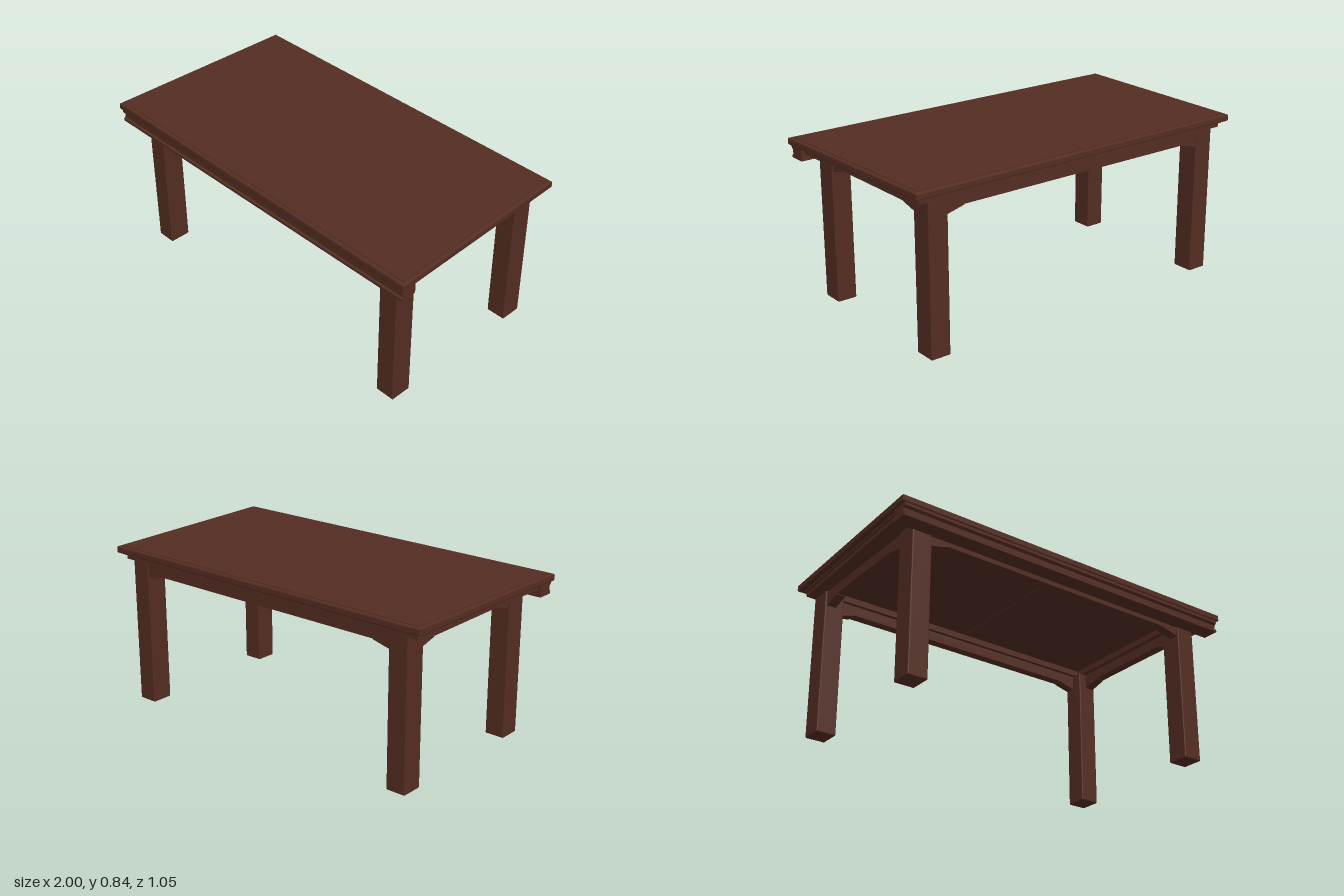
import * as THREE from 'three';
import { RoundedBoxGeometry } from 'three/addons/geometries/RoundedBoxGeometry.js';

export function createModel() {
  const wood = new THREE.MeshStandardMaterial({ color: 0x542d22 });
  wood.name = 'dark brown wood';
  const table = new THREE.Group();
  table.name = 'diningTable';

  const add = (name, geometry, x = 0, y = 0, z = 0) => {
    const mesh = new THREE.Mesh(geometry, wood);
    mesh.name = name;
    mesh.position.set(x, y, z);
    table.add(mesh);
    return mesh;
  };
  const shapeOf = (points) => new THREE.Shape(points.map(([a, b]) => new THREE.Vector2(a, b)));

  // Horizontal slab from a plan outline given as [x, z]
  const slab = (name, shape, y0, y1, bevel = 0) => {
    const g = new THREE.ExtrudeGeometry(shape, {
      depth: y1 - y0 - 2 * bevel, bevelEnabled: bevel > 0, bevelSize: bevel,
      bevelThickness: bevel, bevelOffset: -bevel, bevelSegments: 2,
    });
    g.rotateX(Math.PI / 2);
    return add(name, g, 0, y1 - bevel, 0);
  };

  // Half of the tapered plan, wider at the front; the halves meet at the centre seam
  const halfPlan = (s, inset) => shapeOf([
    [s * 0.001, -0.53 + inset], [s * (0.97 - inset), -0.53 + inset],
    [s * (1 - inset), 0.525 - inset], [s * 0.001, 0.525 - inset],
  ]);
  for (const s of [1, -1]) {
    const side = s > 0 ? 'left' : 'right';
    slab(side + 'TopLeaf', halfPlan(s, 0), 0.8, 0.837, 0.007);
    slab(side + 'TopPanel', halfPlan(s, 0.02), 0.835, 0.84);
  }

  // Stepped frame beneath the top, open in the middle
  const frame = (name, inset, y0, y1) => {
    const shape = shapeOf([
      [-0.97 + inset, -0.53 + inset], [0.97 - inset, -0.53 + inset],
      [1 - inset, 0.44], [-1 + inset, 0.44],
    ]);
    shape.holes.push(shapeOf([[-0.8, -0.42], [-0.8, 0.36], [0.8, 0.36], [0.8, -0.42]]));
    slab(name, shape, y0, y1);
  };
  frame('upperFrame', 0.025, 0.79, 0.802);
  frame('lowerFrame', 0.035, 0.768, 0.79);

  // Front moulding, profile in [z, y]
  const moulding = new THREE.ExtrudeGeometry(shapeOf([
    [0.43, 0.735], [0.518, 0.735], [0.518, 0.748], [0.508, 0.753], [0.508, 0.776],
    [0.514, 0.782], [0.52, 0.786], [0.52, 0.801], [0.43, 0.801],
  ]), { depth: 1.97, bevelEnabled: false });
  moulding.rotateY(-Math.PI / 2);
  // After the turn the profile faces +z and the length runs along -x
  add('frontMoulding', moulding, 0.985, 0, 0);

  // Long and short aprons between the legs
  const apron = (name, w, d, x, z) => add(name, new THREE.BoxGeometry(w, 0.06, d), x, 0.745, z);
  apron('frontApron', 1.6, 0.05, 0, 0.4);
  apron('backApron', 1.6, 0.05, 0, -0.465);
  for (const s of [1, -1]) apron(s > 0 ? 'leftApron' : 'rightApron', 0.05, 0.74, s * 0.85, -0.03);

  // Legs with a wedge brace along each neighbouring apron
  const wedge = new THREE.ExtrudeGeometry(
    shapeOf([[0, 0.688], [0.095, 0.712], [0.095, 0.718], [0, 0.718]]),
    { depth: 0.05, bevelEnabled: false });
  wedge.translate(0, 0, -0.025);
  for (const s of [1, -1]) for (const f of [1, -1]) {
    const name = (f > 0 ? 'front' : 'back') + (s > 0 ? 'Left' : 'Right');
    const z = f > 0 ? 0.3775 : -0.4375;
    add(name + 'Leg', new RoundedBoxGeometry(0.106, 0.772, 0.115, 2, 0.006), s * 0.832, 0.386, z);
    const along = add(name + 'LongBrace', wedge, s * 0.78, 0, f > 0 ? 0.4 : -0.465);
    along.rotation.y = s > 0 ? Math.PI : 0;
    const across = add(name + 'ShortBrace', wedge, s * 0.85, 0, f > 0 ? 0.32 : -0.38);
    across.rotation.y = f > 0 ? Math.PI / 2 : -Math.PI / 2;
  }

  return table;
}
